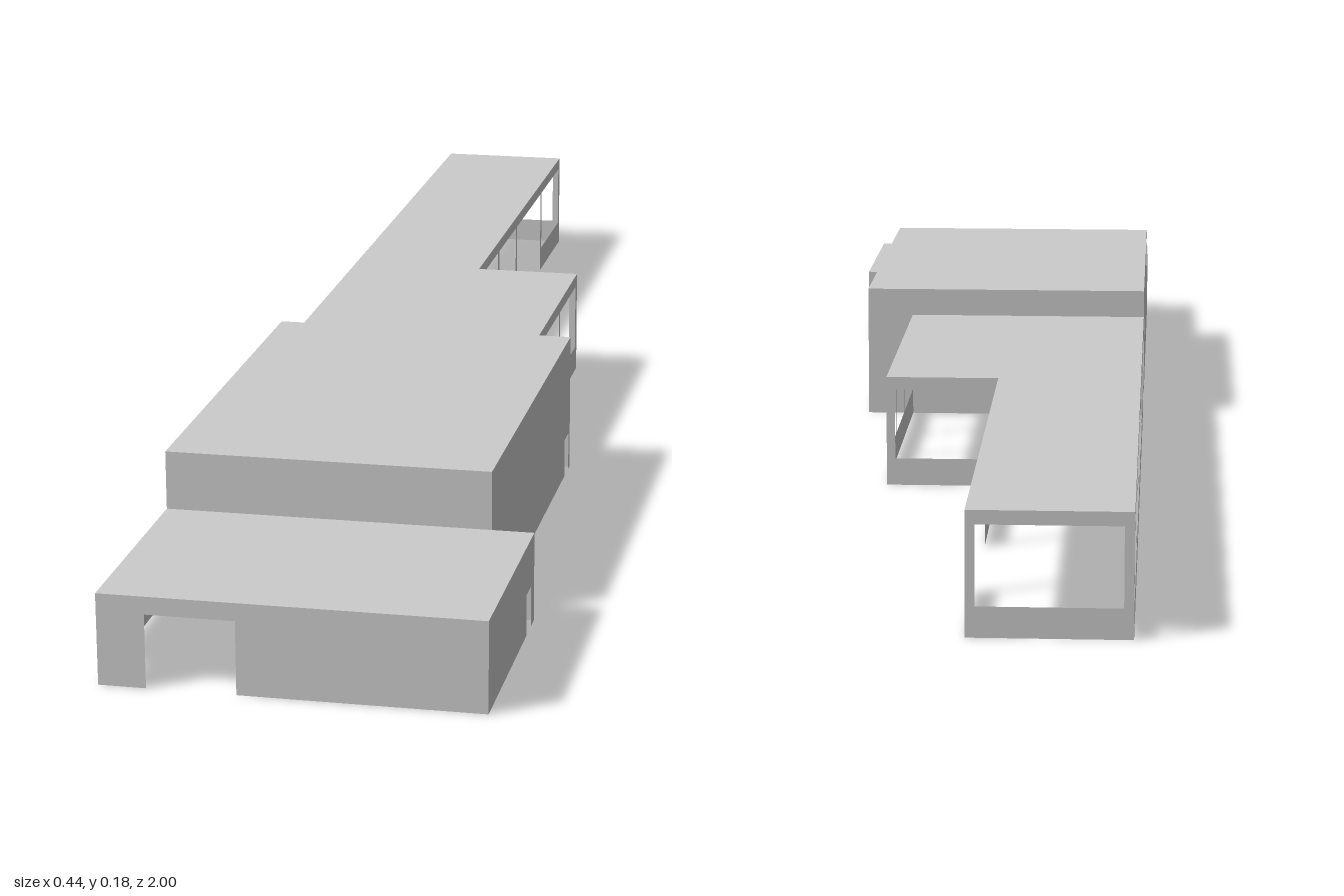
import * as THREE from 'three';

const material = new THREE.MeshStandardMaterial({ color: 0xcccccc, side: THREE.DoubleSide, flatShading: true });
const SILL = 0.035, LINTEL = 0.126;
const X0 = -0.22; // shared flush side

const win = (a, b) => ({ a, b, y0: SILL, y1: LINTEL });
const door = (a, b, h) => ({ a, b, y0: 0, y1: h });

// Row of n windows between a and b, split by thin mullions
function windowRow(a, b, n, mullion = 0.01) {
  const w = (b - a - mullion * (n - 1)) / n;
  return Array.from({ length: n }, (_, i) => win(a + i * (w + mullion), a + i * (w + mullion) + w));
}

// Sheet wall from (xa,za) to (xb,zb); openings are given in world x or z along the wall
function wall(name, [xa, za], [xb, zb], height, openings = []) {
  const alongX = za === zb;
  const start = alongX ? xa : za;
  const length = Math.abs(alongX ? xb - xa : zb - za);
  const spans = openings.map(({ a, b, y0, y1 }) => {
    const u = [Math.abs(a - start), Math.abs(b - start)].sort((p, q) => p - q);
    return { u0: u[0], u1: u[1], y0, y1 };
  }).sort((p, q) => p.u0 - q.u0);

  const shape = new THREE.Shape();
  shape.moveTo(0, 0);
  for (const { u0, u1, y0, y1 } of spans) {
    if (y0 === 0) { // doorway notch in the bottom edge
      shape.lineTo(u0, 0);
      shape.lineTo(u0, y1);
      shape.lineTo(u1, y1);
      shape.lineTo(u1, 0);
    } else {
      shape.holes.push(new THREE.Path([[u0, y0], [u0, y1], [u1, y1], [u1, y0]].map(p => new THREE.Vector2(...p))));
    }
  }
  shape.lineTo(length, 0);
  shape.lineTo(length, height);
  shape.lineTo(0, height);
  shape.closePath();

  const mesh = new THREE.Mesh(new THREE.ShapeGeometry(shape), material);
  mesh.name = name;
  mesh.position.set(xa, 0, za);
  mesh.rotation.y = Math.atan2(za - zb, xb - xa);
  return mesh;
}

// Flat roof from an outline of (x, z) points
function roof(name, outline, y) {
  const shape = new THREE.Shape(outline.map(([x, z]) => new THREE.Vector2(x, -z)));
  const mesh = new THREE.Mesh(new THREE.ShapeGeometry(shape), material);
  mesh.name = name;
  mesh.rotation.x = -Math.PI / 2;
  mesh.position.y = y;
  return mesh;
}

const rect = (x0, x1, z0, z1) => [[x0, z1], [x1, z1], [x1, z0], [x0, z0]];

function part(name, ...meshes) {
  const group = new THREE.Group();
  group.name = name;
  group.add(...meshes);
  return group;
}

export function createModel() {
  const model = new THREE.Group();
  model.name = 'building';

  // z of the front face, the two partitions, the step and the back
  const zFront = 1, zHall = 0.715, zWing = 0.155, zStep = -0.29, zBack = -1;
  const xFront = 0.22, xHall = 0.17, xWing = 0.107, xTail = -0.037;
  const hFront = 0.108, hHall = 0.179, hWing = 0.142;

  // Low entrance block
  model.add(part('entranceBlock',
    wall('entranceFrontWall', [X0, zFront], [xFront, zFront], hFront, [door(-0.165, -0.062, 0.087)]),
    wall('entranceLeftWall', [xFront, zFront], [xFront, zHall], hFront, [door(0.735, 0.765, 0.05)]),
    wall('entranceBackWall', [xFront, zHall], [xHall, zHall], hFront),
    wall('entranceRightWall', [X0, zHall], [X0, zFront], hFront, [door(0.95, 0.98, 0.05)]),
    roof('entranceRoof', rect(X0, xFront, zHall, zFront), hFront)));

  // Tall main hall with closed partitions at both ends
  model.add(part('mainHall',
    wall('hallFrontWall', [X0, zHall], [xHall, zHall], hHall),
    wall('hallLeftWall', [xHall, zHall], [xHall, zWing], hHall, [door(0.165, 0.195, 0.05)]),
    wall('hallBackWall', [xHall, zWing], [X0, zWing], hHall),
    wall('hallRightWall', [X0, zWing], [X0, zHall], hHall, [door(0.195, 0.3, 0.12), door(0.307, 0.337, 0.05)]),
    roof('hallRoof', rect(X0, xHall, zWing, zHall), hHall)));

  // Glazed wing, stepping in to a long narrow tail
  model.add(part('glazedWing',
    wall('wingLeftWall', [xWing, zWing], [xWing, zStep], hWing, windowRow(-0.277, 0.145, 3)),
    wall('wingStepWall', [xWing, zStep], [xTail, zStep], hWing, [win(xTail + 0.011, xWing - 0.011)]),
    wall('tailLeftWall', [xTail, zStep], [xTail, zBack], hWing,
      [...windowRow(-0.592, -0.302, 2), door(-0.815, -0.602, LINTEL), win(-0.988, -0.825)]),
    wall('tailBackWall', [xTail, zBack], [X0, zBack], hWing, [win(X0 + 0.011, xTail - 0.011)]),
    wall('wingRightWall', [X0, zBack], [X0, zWing], hWing, windowRow(-0.988, 0.145, 5)),
    roof('wingRoof', [[X0, zWing], [xWing, zWing], [xWing, zStep], [xTail, zStep], [xTail, zBack], [X0, zBack]], hWing)));

  return model;
}
